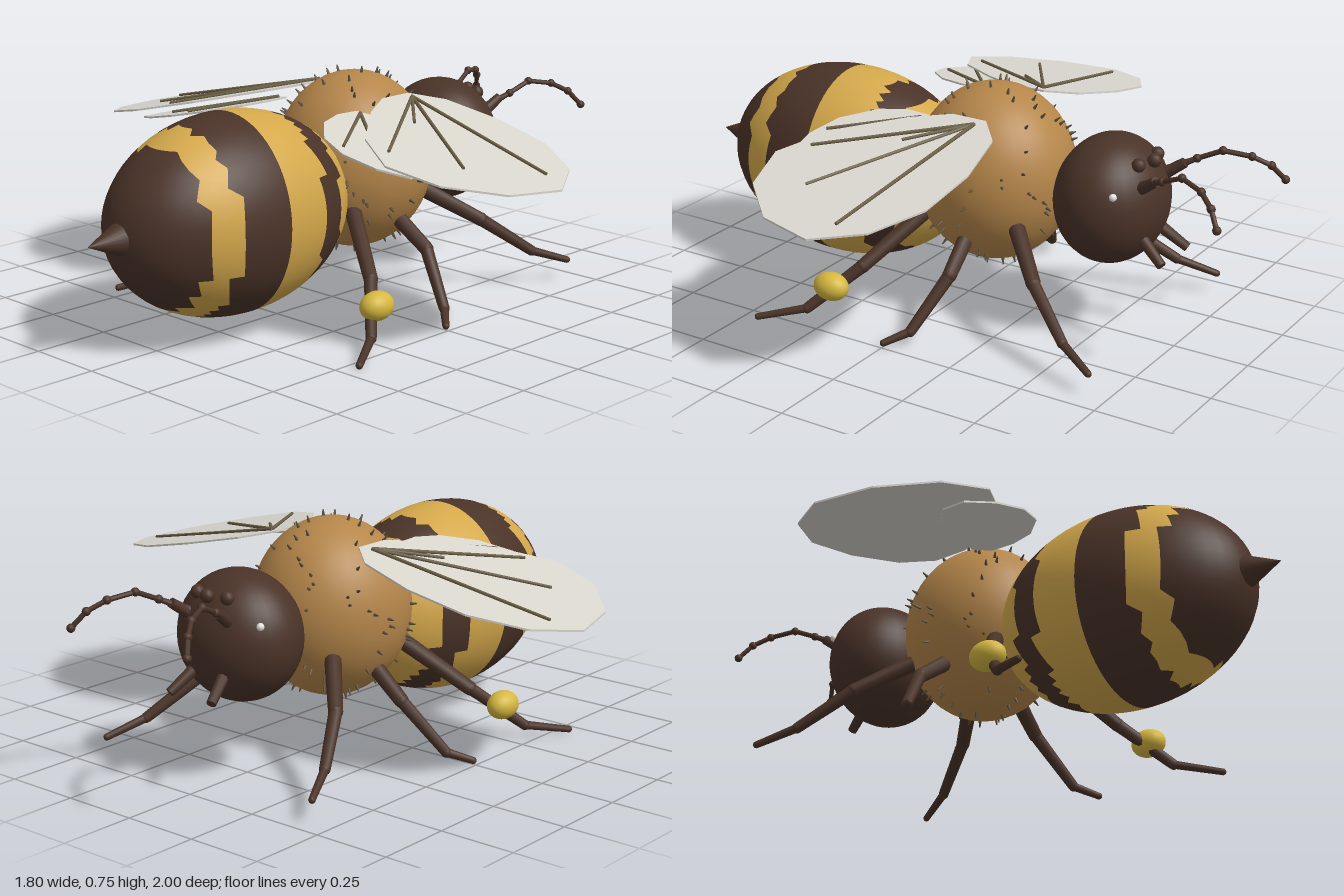
import * as THREE from 'three';

const mat = (name, color, side = THREE.FrontSide) => {
  const m = new THREE.MeshStandardMaterial({ color, side });
  m.name = name;
  return m;
};
const V = (x, y, z) => new THREE.Vector3(x, y, z);

export function createModel() {
  const brown = mat('dark brown', 0x4a3328);
  const gold = mat('gold', 0xd4a84b);
  const tan = mat('tan fur', 0xb5864a);
  const hairMat = mat('hair', 0x5f523f);
  const wingMat = mat('wing', 0xdad7cf, THREE.DoubleSide);
  const veinMat = mat('vein', 0x6e6248);
  const pollenMat = mat('pollen', 0xd6b840);
  const white = mat('eye glint', 0xf2f0ea);

  const bee = new THREE.Group();
  bee.name = 'bee';

  const add = (name, geo, material, parent = bee) => {
    const mesh = new THREE.Mesh(geo, material);
    mesh.name = name;
    parent.add(mesh);
    return mesh;
  };
  const ellipsoid = (name, center, radii, material, parent = bee, w = 32, h = 24) => {
    const geo = new THREE.SphereGeometry(1, w, h).scale(...radii).translate(...center);
    return add(name, geo, material, parent);
  };
  // tapered rod from a to b
  const rod = (name, a, b, ra, rb, material, parent, sides = 10) => {
    const dir = b.clone().sub(a);
    const mesh = add(name, new THREE.CylinderGeometry(rb, ra, dir.length(), sides), material, parent);
    mesh.position.copy(a).add(b).multiplyScalar(0.5);
    mesh.quaternion.setFromUnitVectors(V(0, 1, 0), dir.normalize());
    return mesh;
  };
  const group = (name) => {
    const g = new THREE.Group();
    g.name = name;
    bee.add(g);
    return g;
  };

  // abdomen: each face takes its band colour from its place along the body
  const ball = new THREE.SphereGeometry(1, 48, 32);
  const idx = ball.index, pos = ball.attributes.position;
  const bands = [[], []];
  const isDark = (z) => z > 0.61 || (z > 0 && z < 0.4) || (z > -0.63 && z < -0.4);
  for (let i = 0; i < idx.count; i += 3) {
    const tri = [idx.getX(i), idx.getX(i + 1), idx.getX(i + 2)];
    const zs = tri.map((k) => pos.getZ(k));
    const mid = (Math.min(...zs) + Math.max(...zs)) / 2;
    bands[isDark(mid) ? 0 : 1].push(...tri);
  }
  ball.setIndex([...bands[0], ...bands[1]]);
  ball.clearGroups();
  ball.addGroup(0, bands[0].length, 0);
  ball.addGroup(bands[0].length, bands[1].length, 1);
  ball.scale(0.28, 0.315, 0.44).translate(0, 0.375, 0.455);
  add('abdomen', ball, [brown, gold]);
  const stinger = new THREE.ConeGeometry(0.057, 0.13, 20).rotateX(Math.PI / 2).translate(0, 0.375, 0.935);
  add('stinger', stinger, brown);

  // thorax with short hairs spread on a spiral
  const tc = [0, 0.45, -0.1], tr = [0.25, 0.287, 0.262];
  ellipsoid('thorax', tc, tr, tan);
  const hairs = group('thoraxHairs');
  const hairCount = 120;
  for (let i = 0; i < hairCount; i++) {
    const y = 1 - (2 * i + 1) / hairCount, a = i * 2.4 + Math.sin(i * 7.3) * 0.5;
    const r = Math.sqrt(1 - y * y), n = V(r * Math.cos(a), y, r * Math.sin(a));
    const p = V(tc[0] + n.x * tr[0], tc[1] + n.y * tr[1], tc[2] + n.z * tr[2]);
    rod('hair', p.clone().addScaledVector(n, -0.005), p.clone().addScaledVector(n, 0.02), 0.006, 0.002, hairMat, hairs, 5);
  }

  // head and three simple eyes
  ellipsoid('head', [0, 0.448, -0.521], [0.205, 0.204, 0.175], brown);
  for (const [x, y, z] of [[-0.06, 0.594, -0.638], [0, 0.596, -0.66], [0.06, 0.594, -0.638]])
    ellipsoid('simpleEye', [x, y, z], [0.022, 0.022, 0.022], brown, bee, 12, 8);

  // wing outlines as x, z
  const foreOutline = [[0.17, -0.17], [0.26, -0.25], [0.45, -0.285], [0.65, -0.27], [0.81, -0.18], [0.9, -0.03],
    [0.855, 0.155], [0.72, 0.3], [0.55, 0.345], [0.38, 0.25], [0.235, 0.07], [0.17, -0.05]];
  const hindOutline = [[0.155, 0.05], [0.22, 0.02], [0.35, 0.05], [0.5, 0.12], [0.59, 0.2], [0.59, 0.28],
    [0.5, 0.33], [0.38, 0.345], [0.27, 0.31], [0.18, 0.22], [0.15, 0.13]];
  const foreVeins = [[0.81, -0.07], [0.67, 0.14], [0.485, 0.26], [0.36, 0.01]];
  const hindVeins = [[0.345, 0.305], [0.46, 0.27]];

  for (const s of [-1, 1]) {
    const side = s > 0 ? 'left' : 'right';
    const P = (x, y, z) => V(s * x, y, z);

    ellipsoid(side + 'EyeGlint', [s * 0.165, 0.52, -0.611], [0.012, 0.012, 0.012], white, bee, 10, 8);
    rod(side + 'Mandible', P(0.06, 0.36, -0.66), P(0.085, 0.3, -0.74), 0.019, 0.015, brown, bee);

    // antenna: slim rods with a bead at each joint
    const antenna = group(side + 'Antenna');
    const ap = [[0.075, 0.54, -0.66], [0.115, 0.583, -0.745], [0.135, 0.617, -0.82],
      [0.17, 0.603, -0.9], [0.205, 0.573, -0.95], [0.235, 0.525, -0.985]].map((p) => P(...p));
    ap.slice(1).forEach((p, i) => {
      rod('antennaSegment', ap[i], p, i ? 0.008 : 0.014, 0.008, brown, antenna, 8);
      ellipsoid('antennaBead', p.toArray(), [0.0135, 0.0135, 0.0135], brown, antenna, 10, 8);
    });
    rod('antennaSocket', P(0.075, 0.52, -0.645), P(0.095, 0.57, -0.715), 0.02, 0.016, brown, antenna);

    // legs: hip, knee, ankle, tip
    const legs = {
      FrontLeg: [[0.15, 0.34, -0.27], [0.28, 0.235, -0.41], [0.37, 0.115, -0.565], [0.425, 0.07, -0.685]],
      MiddleLeg: [[0.15, 0.31, -0.105], [0.3, 0.2, -0.12], [0.43, 0.045, -0.06], [0.49, 0.015, 0]],
      HindLeg: [[0.15, 0.33, 0.06], [0.34, 0.175, 0.18], [0.465, 0.045, 0.31], [0.545, 0.013, 0.445]],
    };
    for (const [name, pts] of Object.entries(legs)) {
      const leg = group(side + name);
      const j = pts.map((p) => P(...p));
      [['thigh', 0.027, 0.023], ['shin', 0.021, 0.017], ['foot', 0.014, 0.011]].forEach(([part, ra, rb], i) => {
        rod(part, j[i], j[i + 1], ra, rb, brown, leg);
        ellipsoid('joint', j[i + 1].toArray(), [rb, rb, rb], brown, leg, 10, 8);
      });
    }
    ellipsoid(side + 'PollenBasket', [s * 0.425, 0.122, 0.243], [0.046, 0.046, 0.06], pollenMat, bee, 20, 14);

    // wings: thin sloping plates with raised veins
    const wing = (name, outline, baseY, root, veins) => {
      const g = group(side + name);
      const heightAt = (x) => baseY - 0.218 * (x - 0.19);
      const shape = new THREE.Shape(outline.map(([x, z]) => new THREE.Vector2(s * x, -z)));
      const geo = new THREE.ExtrudeGeometry(shape, { depth: 0.006, bevelEnabled: false }).rotateX(-Math.PI / 2);
      const p = geo.attributes.position;
      for (let i = 0; i < p.count; i++) p.setY(i, p.getY(i) - 0.003 + heightAt(Math.abs(p.getX(i))));
      geo.computeVertexNormals();
      add('wingBlade', geo, wingMat, g);
      for (const [x, z] of veins)
        rod('wingVein', P(root[0], heightAt(root[0]) + 0.007, root[1]), P(x, heightAt(x) + 0.007, z), 0.006, 0.005, veinMat, g, 6);
    };
    wing('ForeWing', foreOutline, 0.67, [0.205, -0.15], foreVeins);
    wing('HindWing', hindOutline, 0.64, [0.18, 0.06], hindVeins);
  }
  return bee;
}
